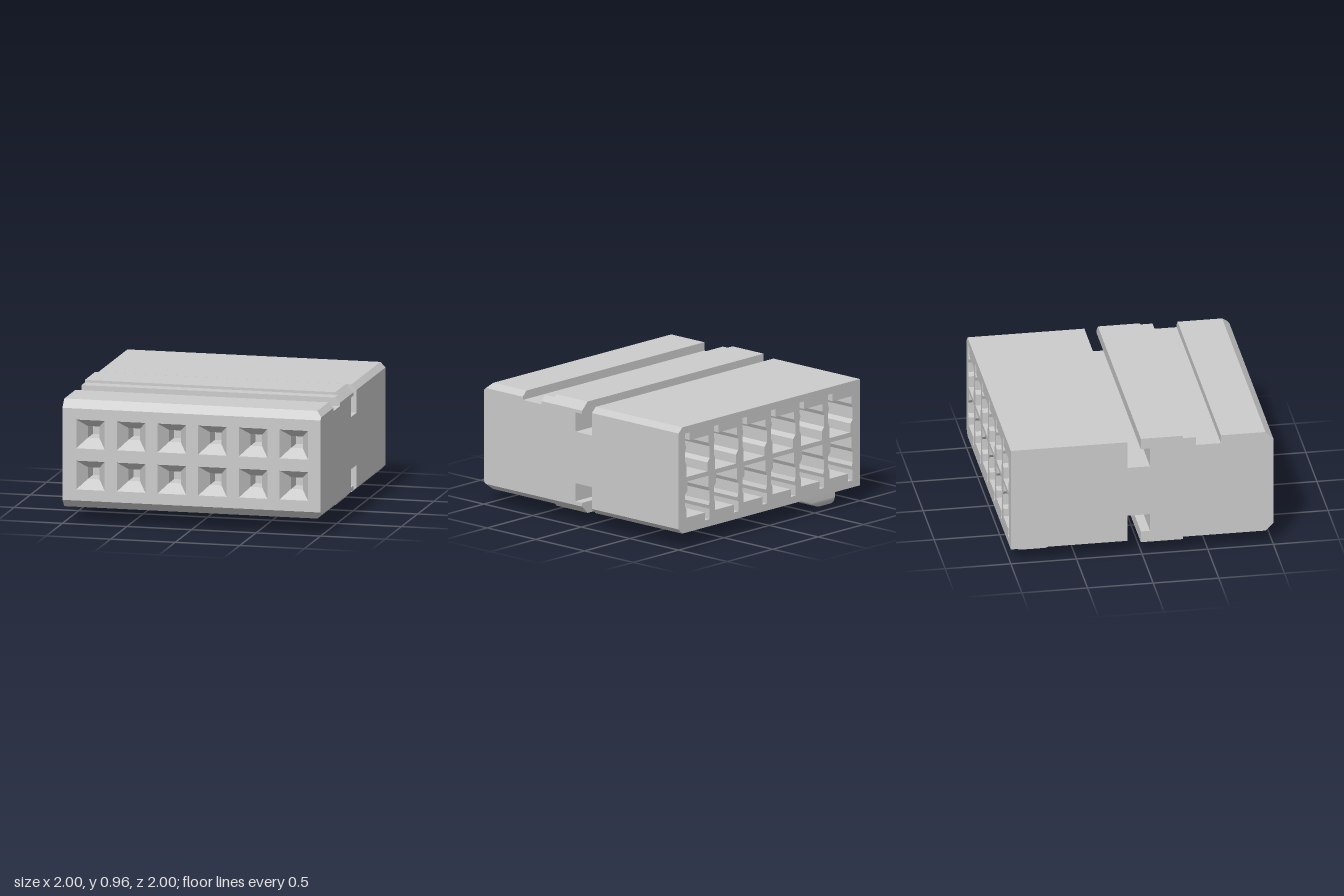
import * as THREE from 'three';
import { toCreasedNormals } from 'three/addons/utils/BufferGeometryUtils.js';

const grey = new THREE.MeshStandardMaterial({ color: 0xcccccc, flatShading: true });
const smooth = new THREE.MeshStandardMaterial({ color: 0xcccccc });
const thin = new THREE.MeshStandardMaterial({ color: 0xcccccc, flatShading: true, side: THREE.DoubleSide });

const poly = (pts) => new THREE.Shape(pts.map(([a, b]) => new THREE.Vector2(a, b)));

// Right end of the housing: the top and bottom edges are bevelled at 45 degrees
const rightEnd = (y) => Math.min(1, 1 - (y - 0.905), 1 - (0.16 - y));

// Extrude a (z, y) section along x between x0 and x1
function alongX(shape, x0, x1, steps = 1) {
  const geo = new THREE.ExtrudeGeometry(shape, { depth: x1 - x0, steps, bevelEnabled: false, curveSegments: 8 });
  return geo.rotateY(-Math.PI / 2).translate(x1, 0, 0);
}

// Move each vertex by a rule
function reshape(geo, rule) {
  const p = geo.attributes.position;
  const v = new THREE.Vector3();
  for (let i = 0; i < p.count; i++) {
    rule(v.fromBufferAttribute(p, i));
    p.setXYZ(i, v.x, v.y, v.z);
  }
  geo.computeVertexNormals();
  return geo;
}

export function createModel() {
  const model = new THREE.Group();
  model.name = 'connectorHousing';
  const add = (name, geo, mat = grey) => {
    const mesh = new THREE.Mesh(geo, mat);
    mesh.name = name;
    model.add(mesh);
  };
  const section = (name, pts) =>
    add(name, reshape(alongX(poly(pts), -1, 1), (v) => { v.x = Math.min(v.x, rightEnd(v.y)); }));

  // Solid middle with the hooked lock grooves above and below
  section('core', [
    [0.75, 0.16], [0.75, 0.905], [0.6, 0.905], [0.6, 0.88], [0.41, 0.88], [0.41, 0.905],
    [-0.01, 0.905], [-0.01, 0.88], [0.06, 0.88], [0.06, 0.73], [-0.11, 0.73], [-0.11, 0.905],
    [-0.25, 0.905], [-0.25, 0.16], [-0.11, 0.16], [-0.11, 0.33], [0.06, 0.33], [0.06, 0.19],
    [-0.01, 0.19], [-0.01, 0.16],
  ]);

  // Top skin: front lip, raised rib, rear deck
  section('topFrontLipBase', [[0.75, 0.885], [1, 0.885], [0.98, 0.905], [0.75, 0.905]]);
  section('topFrontLip', [[0.6, 0.905], [0.98, 0.905], [0.94, 0.945], [0.6, 0.945]]);
  section('topRib', [[-0.01, 0.905], [0.41, 0.905], [0.41, 0.945], [0.31, 0.945], [0.31, 0.965], [-0.01, 0.965]]);
  section('topRearDeck', [[-1, 0.905], [-0.11, 0.905], [-0.11, 0.945], [-1, 0.945]]);

  // Bottom skin: front part with rib, rear deck
  section('bottomFrontLipBase', [[0.75, 0.16], [0.98, 0.16], [1, 0.18], [0.75, 0.18]]);
  section('bottomFront', [[-0.01, 0.1], [0.31, 0.1], [0.31, 0.12], [0.94, 0.12], [0.98, 0.16], [-0.01, 0.16]]);
  section('bottomRearDeck', [[-1, 0.12], [-0.11, 0.12], [-0.11, 0.16], [-1, 0.16]]);

  // Front and rear blocks, pierced by two rows of six contacts
  const front = poly([[-1, 0.18], [1, 0.18], [1, 0.885], [-1, 0.885]]);
  const rear = poly([[-1, 0.16], [1, 0.16], [1, 0.905], [-1, 0.905]]);
  const square = [[-0.11, -0.11], [0.11, -0.11], [0.11, 0.11], [-0.11, 0.11]];
  // Rear cavity: a box with a keyway in one corner and slightly stepped sides
  const cavity = [
    [-0.11, -0.14], [0.12, -0.14], [0.12, -0.05], [0.135, -0.02], [0.135, 0.06], [0.125, 0.09],
    [0.135, 0.12], [0.135, 0.2], [0.085, 0.2], [0.085, 0.14], [-0.12, 0.14], [-0.12, 0.08],
    [-0.135, 0.05], [-0.135, -0.04], [-0.11, -0.07],
  ];
  const funnelGeo = new THREE.CylinderGeometry(0.11 * Math.SQRT2, 0.045 * Math.SQRT2, 0.1, 4, 1, true);
  const shaftGeo = new THREE.CylinderGeometry(0.045 * Math.SQRT2, 0.045 * Math.SQRT2, 0.15, 4, 1, true);
  for (const g of [funnelGeo, shaftGeo]) g.rotateY(Math.PI / 4).rotateX(Math.PI / 2);

  for (const side of [1, -1]) {
    const cy = 0.5325 + side * 0.1575;
    for (let i = 0; i < 6; i++) {
      const cx = -0.7825 + i * 0.315;
      front.holes.push(poly(square.map(([x, y]) => [cx + x, cy + y])));
      // The lower row is the upper row turned half way round
      rear.holes.push(poly(cavity.map(([x, y]) => [cx + side * x, cy + side * y])));
      add('contactFunnel', funnelGeo.clone().translate(cx, cy, 0.95), thin);
      add('contactShaft', shaftGeo.clone().translate(cx, cy, 0.825), thin);
    }
  }
  const alongZ = (shape, z0, z1) =>
    new THREE.ExtrudeGeometry(shape, { depth: z1 - z0, bevelEnabled: false }).translate(0, 0, z0);
  add('frontBlock', alongZ(front, 0.75, 1));
  add('rearBlock', alongZ(rear, -1, -0.25));

  // Latch ramp under the rear: rounded section, its underside rising towards the middle
  const r = 0.07;
  const latch = new THREE.Shape();
  latch.moveTo(-0.95, 0.13);
  latch.lineTo(-0.95, r);
  latch.absarc(-0.95 + r, r, r, Math.PI, Math.PI * 1.5, false);
  latch.absarc(-0.64 - r, r, r, Math.PI * 1.5, Math.PI * 2, false);
  latch.lineTo(-0.64, 0.13);
  const latchGeo = reshape(alongX(latch, -0.775, -0.36, 10), (v) => {
    v.y = Math.max(v.y, (v.x + 0.65) * 0.414);
  });
  add('latchRamp', toCreasedNormals(latchGeo, 0.4), smooth);

  return model;
}
